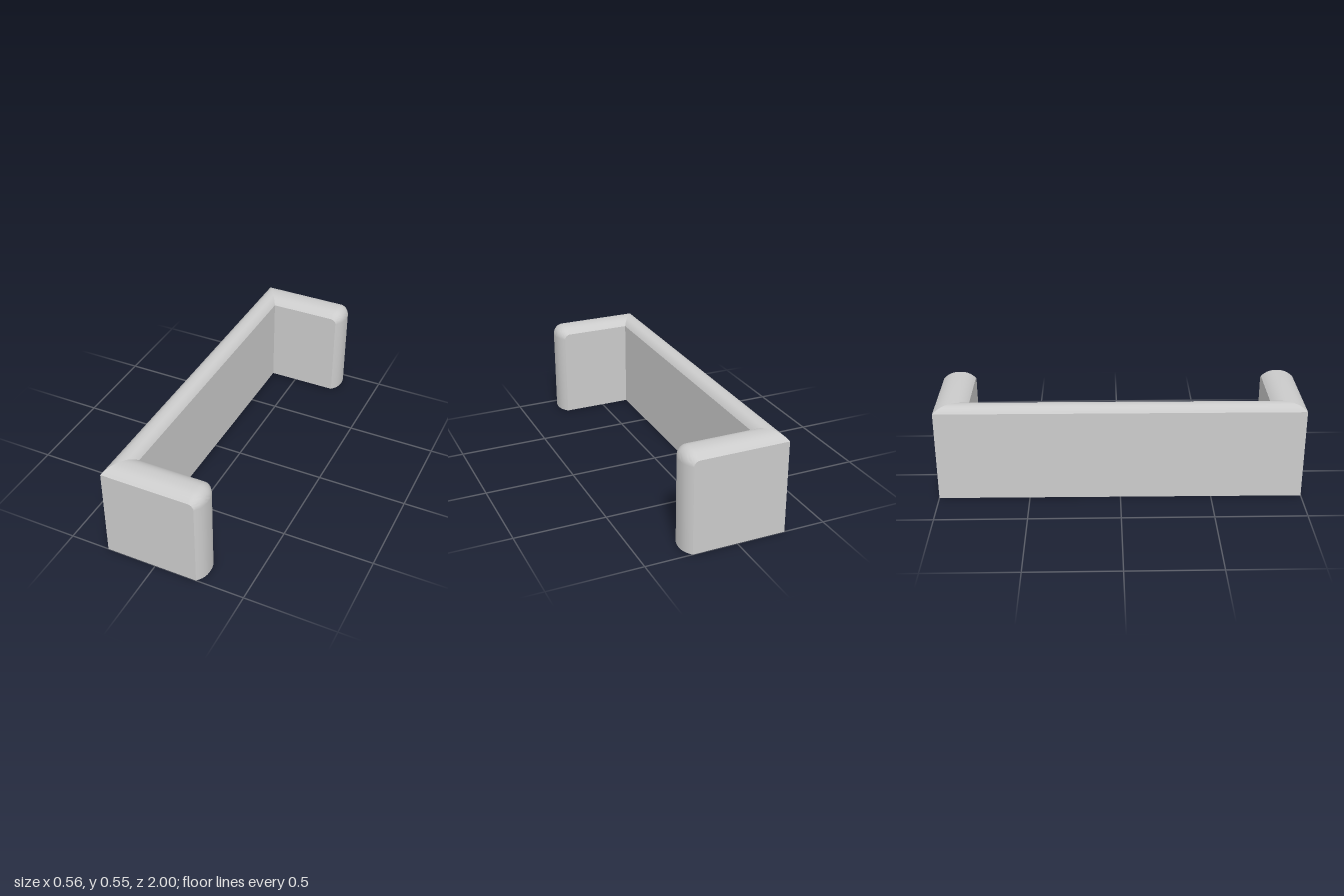
import * as THREE from 'three';
import { toCreasedNormals } from 'three/addons/utils/BufferGeometryUtils.js';

const EDGE = 0.51;        // height where the walls meet the rounded crown
const CROWN = 0.035;      // rise of the crown above that edge
const SEGS = 20;          // segments across the crown
const PIVOT = 0.21, R = 0.03; // front corner of an arm
const BACK = [-0.275, -0.16]; // outer and inner x of the back panel
const ARM = [1, 0.82];        // outer and inner |z| of an arm

// Closed section: outer base, crown from outer to inner edge, inner base
function ring({ x, z, h, n, base }) {
  const pts = [[base ?? x[0], 0, z[0]]];
  for (let k = 0; k <= SEGS; k++) {
    const u = -Math.cos((k / SEGS) * Math.PI), t = (u + 1) / 2;
    const c = CROWN * (1 - Math.abs(u) ** 2.5);
    pts.push([x[0] + (x[1] - x[0]) * t + n[0] * c, h + n[1] * c, z[0] + (z[1] - z[0]) * t]);
  }
  pts.push([base ?? x[1], 0, z[1]]);
  return pts;
}

// Skin the stations; cap = 'start' or 'end' closes the underside of an arm's nose
function sweep(name, stations, material, cap) {
  const n = SEGS + 3, pos = [], index = [];
  stations.forEach(s => ring(s).forEach(([x, y, z]) => pos.push(x - 0.005 * z, y, z)));
  for (let j = 0; j < stations.length - 1; j++) {
    for (let k = 0; k < n; k++) {
      const a = j * n + k, b = j * n + (k + 1) % n;
      index.push(a, b, a + n, b, b + n, a + n);
    }
  }
  const o = cap === 'end' ? (stations.length - 1) * n : 0;
  for (let k = 1; cap && k < n - 1; k++) {
    if (cap === 'start') index.push(o, o + k + 1, o + k);
    else index.push(o, o + k, o + k + 1);
  }
  const g = new THREE.BufferGeometry();
  g.setAttribute('position', new THREE.Float32BufferAttribute(pos, 3));
  g.setIndex(index);
  const mesh = new THREE.Mesh(toCreasedNormals(g, 0.5), material);
  mesh.name = name;
  return mesh;
}

// Mitred corner shared by the back and an arm
const miter = side => ({ x: BACK, z: ARM.map(v => v * side), h: EDGE, n: [0, 1] });

// Arm: up the nose, around the front top corner, back to the miter
function armStations(side) {
  const z = ARM.map(v => v * side);
  const list = [{ x: [PIVOT + R, PIVOT + R], z, h: 0, n: [1, 0], base: PIVOT }];
  for (let i = 0; i <= 10; i++) {
    const a = (i / 10) * Math.PI / 2, c = Math.cos(a), s = Math.sin(a);
    const x = PIVOT + R * c;
    list.push({ x: [x, x], z, h: EDGE - R + R * s, n: [c, s], base: PIVOT });
  }
  list.push(miter(side));
  return side > 0 ? list : list.reverse();
}

export function createModel() {
  const group = new THREE.Group();
  group.name = 'frame';
  const material = new THREE.MeshStandardMaterial({ color: 0xcccccc });
  group.add(
    sweep('frontArm', armStations(1), material, 'start'),
    sweep('backPanel', [miter(1), miter(-1)], material),
    sweep('rearArm', armStations(-1), material, 'end'),
  );
  return group;
}
